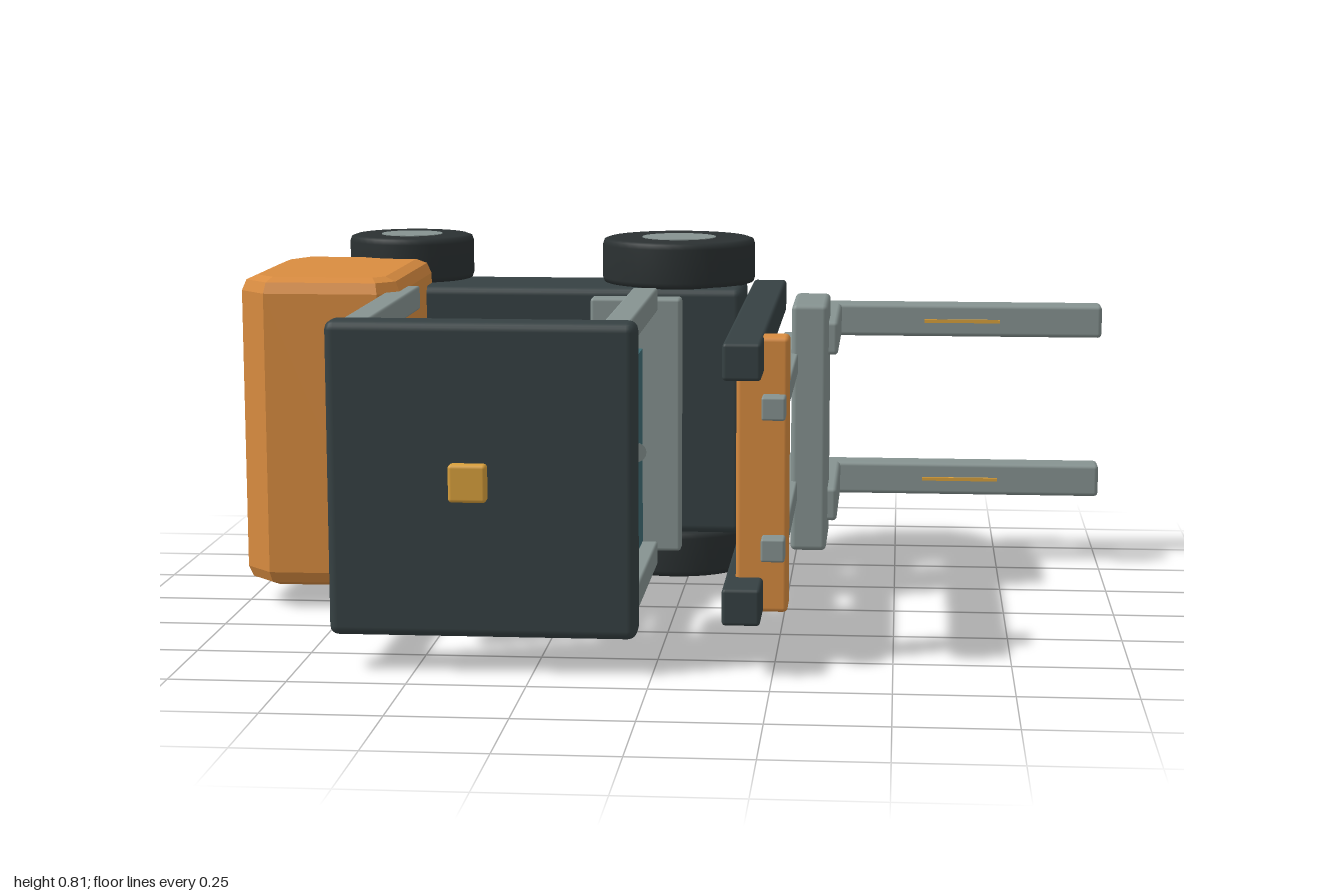
import * as THREE from 'three';
import { RoundedBoxGeometry } from 'three/addons/geometries/RoundedBoxGeometry.js';

const MID = 0.407; // the truck lies on its side: its up is +z, its width runs along y

const mat = (color) => new THREE.MeshStandardMaterial({ color });
const M = {
  orange: mat(0xd98c40), dark: mat(0x364143), grey: mat(0x869391), tyre: mat(0x2b3132),
  beige: mat(0xb5b0a4), glass: mat(0x3f6d75), mint: mat(0x2f9e8e), gold: mat(0xd9a03c),
};

export function createModel() {
  const model = new THREE.Group();
  model.name = 'forklift';

  const add = (name, geometry, material) => {
    const mesh = new THREE.Mesh(geometry, material);
    mesh.name = name;
    model.add(mesh);
    return mesh;
  };

  // Box from its ranges on each axis, with softened edges when r > 0
  const box = (name, material, [x0, x1], [y0, y1], [z0, z1], r = 0.01) => {
    const size = [x1 - x0, y1 - y0, z1 - z0];
    const geometry = r > 0 ? new RoundedBoxGeometry(...size, 2, r) : new THREE.BoxGeometry(...size);
    const mesh = add(name, geometry, material);
    mesh.position.set((x0 + x1) / 2, (y0 + y1) / 2, (z0 + z1) / 2);
    return mesh;
  };

  // Same box on both sides; a and b are distances from the middle
  const pair = (name, material, xs, [a, b], zs, r) => {
    box(name + 'Left', material, xs, [MID + a, MID + b], zs, r);
    box(name + 'Right', material, xs, [MID - b, MID - a], zs, r);
  };

  // Body
  box('chassis', M.dark, [-0.93, 0.13], [0.11, 0.705], [-0.565, -0.32], 0.02);
  box('hood', M.orange, [-0.64, -0.2], [0.19, 0.625], [-0.21, 0.035], 0.025);
  box('floorPlate', M.grey, [-0.21, 0], [0.11, 0.705], [-0.16, -0.105], 0.008);
  box('sideStripe', M.mint, [-0.76, -0.32], [0.035, 0.046], [-0.17, -0.13], 0);
  box('display', M.mint, [-0.13, -0.11], [0.625, 0.69], [-0.03, 0.025], 0.004);

  // Counterweight with chamfered outline
  const b = 0.035;
  const outline = new THREE.Shape([
    [-0.965, 0.345], [-0.93, 0.415], [-0.69, 0.415], [-0.665, 0.39],
    [-0.665, -0.02], [-0.69, -0.048], [-0.92, -0.048], [-0.965, 0.0],
  ].reverse().map(([x, y]) => new THREE.Vector2(x, y)));
  const weight = new THREE.ExtrudeGeometry(outline, {
    depth: 0.715 - 2 * b, bevelThickness: b, bevelSize: b, bevelSegments: 2,
  });
  weight.rotateX(-Math.PI / 2).translate(0, MID - 0.3575 + b, 0);
  add('counterweight', weight, M.orange);

  // Wheels with hubs
  for (const [name, x, z, r, hub] of [['front', -0.035, -0.495, 0.186, 0.09], ['rear', -0.7, -0.53, 0.152, 0.075]]) {
    for (const side of [1, -1]) {
      const label = name + (side > 0 ? 'Left' : 'Right');
      const c = 0.015;
      const profile = [[0, -0.055], [r - c, -0.055], [r - 0.004, -0.051], [r, -0.04],
        [r, 0.04], [r - 0.004, 0.051], [r - c, 0.055], [0, 0.055]];
      const tyre = new THREE.LatheGeometry(profile.map((p) => new THREE.Vector2(...p)), 40);
      add(label + 'Tyre', tyre, M.tyre).position.set(x, MID + side * 0.35, z);
      const cap = new THREE.CylinderGeometry(hub, hub, 0.113, 32);
      add(label + 'Hub', cap, M.grey).position.set(x, MID + side * 0.35, z);
    }
  }

  // Overhead guard
  pair('rearPost', M.grey, [-0.662, -0.605], [0.27, 0.325], [-0.09, 0.58], 0.006);
  pair('frontPost', M.grey, [-0.11, -0.052], [0.27, 0.325], [-0.09, 0.58], 0.006);
  pair('roofRail', M.grey, [-0.62, -0.09], [0.275, 0.32], [0.515, 0.56], 0.006);
  box('roof', M.dark, [-0.68, -0.032], [0.075, 0.74], [0.57, 0.65], 0.02);
  box('roofLamp', M.gold, [-0.42, -0.34], [0.367, 0.447], [0.645, 0.677], 0.008);
  box('windshield', M.glass, [-0.075, -0.063], [0.19, 0.625], [0.17, 0.5], 0);

  // Seat
  box('seatBase', M.dark, [-0.53, -0.28], [0.24, 0.575], [0.03, 0.072], 0.01);
  box('seatCushion', M.beige, [-0.55, -0.35], [0.225, 0.59], [0.07, 0.245], 0.04);
  const back = box('seatBack', M.beige, [-0.59, -0.52], [0.235, 0.58], [0.125, 0.485], 0.03);
  back.rotation.y = -0.1;

  // Steering column
  const from = new THREE.Vector3(-0.178, MID, -0.025), to = new THREE.Vector3(-0.066, MID, 0.265);
  const column = add('steeringColumn',
    new THREE.CylinderGeometry(0.021, 0.021, from.distanceTo(to), 20), M.grey);
  column.position.copy(from).lerp(to, 0.5);
  column.quaternion.setFromUnitVectors(new THREE.Vector3(0, 1, 0), to.clone().sub(from).normalize());

  // Mast and carriage
  pair('mastUpright', M.dark, [0.145, 0.225], [0.217, 0.295], [-0.565, 0.652], 0.008);
  pair('mastInnerRail', M.grey, [0.222, 0.272], [0.125, 0.174], [-0.497, 0.582], 0.005);
  box('mastCrossbar', M.orange, [0.167, 0.277], [0.115, 0.7], [0.457, 0.533], 0.01);
  box('carriage', M.grey, [0.257, 0.34], [0.118, 0.695], [-0.345, -0.097], 0.012);

  // Forks
  pair('forkShank', M.grey, [0.285, 0.362], [0.158, 0.237], [-0.62, -0.197], 0.01);
  pair('forkTine', M.grey, [0.31, 0.998], [0.158, 0.237], [-0.637, -0.56], 0.01);
  pair('forkMark', M.gold, [0.565, 0.75], [0.193, 0.201], [-0.562, -0.552], 0);

  return model;
}
